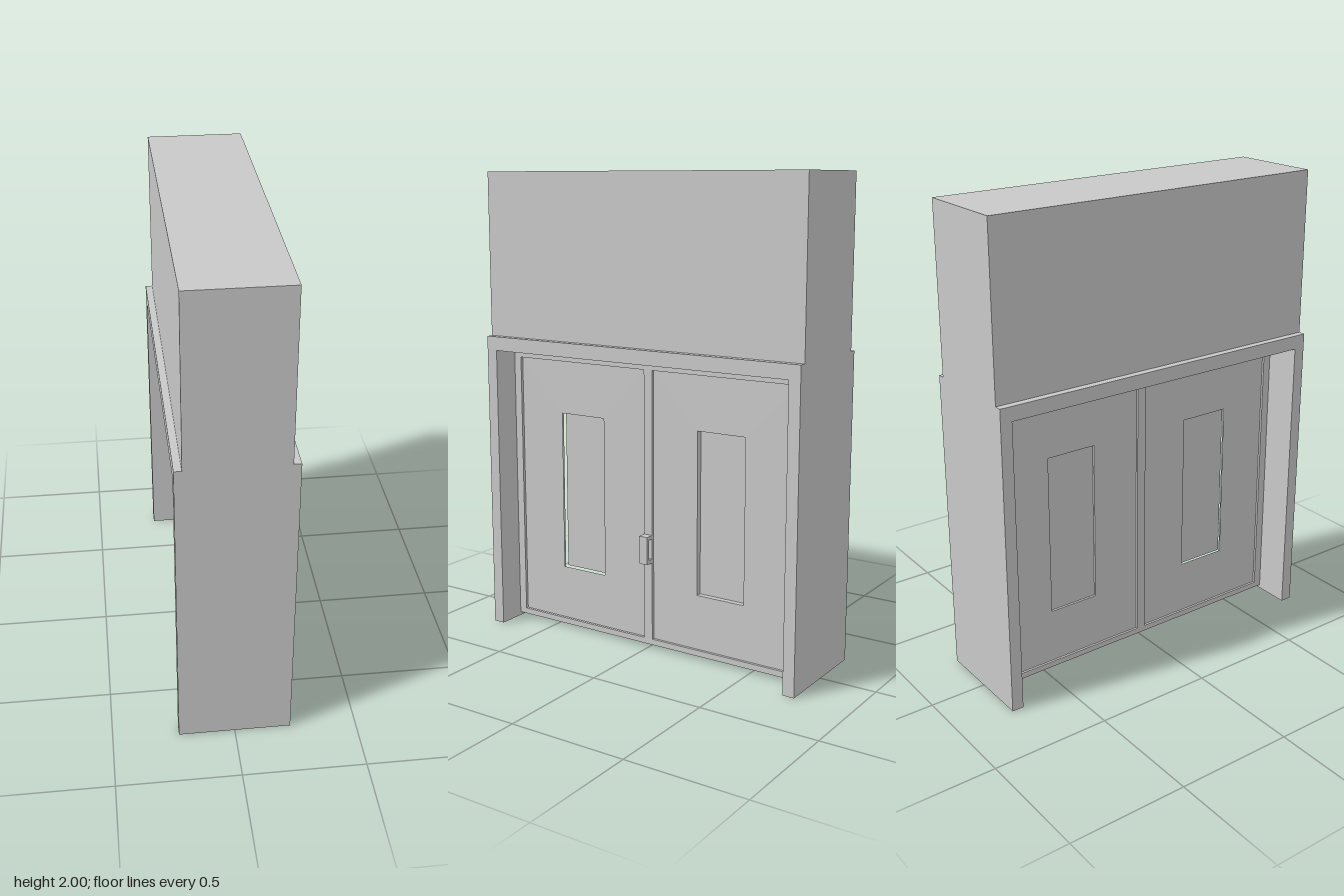
import * as THREE from 'three';

const grey = new THREE.MeshStandardMaterial({ color: 0xc8c8c8 });
grey.name = 'plain grey';

const rect = (C, z0, y0, z1, y1) => {
  const s = new C();
  s.moveTo(z0, y0);
  s.lineTo(z1, y0);
  s.lineTo(z1, y1);
  s.lineTo(z0, y1);
  s.closePath();
  return s;
};

// Extrudes an upright outline through the wall, from x0 to x1.
function slab(name, shape, x0, x1) {
  const g = new THREE.ExtrudeGeometry(shape, { depth: x1 - x0, bevelEnabled: false });
  g.translate(0, 0, x0);
  g.rotateY(Math.PI / 2);
  const m = new THREE.Mesh(g, grey);
  m.name = name;
  return m;
}

function box(name, w, h, d, x, y, z) {
  const m = new THREE.Mesh(new THREE.BoxGeometry(w, h, d), grey);
  m.position.set(x, y, z);
  m.name = name;
  return m;
}

export function createModel() {
  const root = new THREE.Group();
  root.name = 'doorway';

  // Wall block above the doors
  root.add(box('upperWall', 0.4, 0.7, 1.52, 0, 1.65, 0));

  // Thicker portal: two jambs and a header
  const portal = new THREE.Shape();
  [[-0.76, 0], [-0.71, 0], [-0.71, 1.24], [0.71, 1.24],
    [0.71, 0], [0.76, 0], [0.76, 1.3], [-0.76, 1.3]]
    .forEach(([z, y], i) => (i ? portal.lineTo(z, y) : portal.moveTo(z, y)));
  portal.closePath();
  root.add(slab('portal', portal, -0.23, 0.23));

  // Door frame with an opening for each leaf, leaving small gaps above and below
  const frame = rect(THREE.Shape, -0.71, 0.015, 0.71, 1.23);
  for (const s of [-1, 1]) {
    frame.holes.push(rect(THREE.Path, s * 0.02, 0.04, s * 0.675, 1.2));
  }
  root.add(slab('doorFrame', frame, -0.075, 0.11));

  // Recessed leaves with sunken window panels
  for (const s of [-1, 1]) {
    const leaf = new THREE.Group();
    leaf.name = s > 0 ? 'rightLeaf' : 'leftLeaf';
    const panel = rect(THREE.Shape, s * 0.02, 0.04, s * 0.675, 1.2);
    panel.holes.push(rect(THREE.Path, s * 0.235, 0.275, s * 0.457, 0.97));
    leaf.add(slab('leafPanel', panel, -0.065, 0.098));
    leaf.add(slab('windowPanel', rect(THREE.Shape, s * 0.235, 0.275, s * 0.457, 0.97), -0.055, 0.073));
    root.add(leaf);
  }

  // Pull handle on the centre post
  const handle = new THREE.Group();
  handle.name = 'handle';
  handle.add(box('grip', 0.012, 0.12, 0.04, 0.141, 0.44, 0));
  for (const y of [0.388, 0.492]) {
    handle.add(box('handleBracket', 0.027, 0.016, 0.04, 0.1225, y, 0));
  }
  root.add(handle);

  return root;
}
